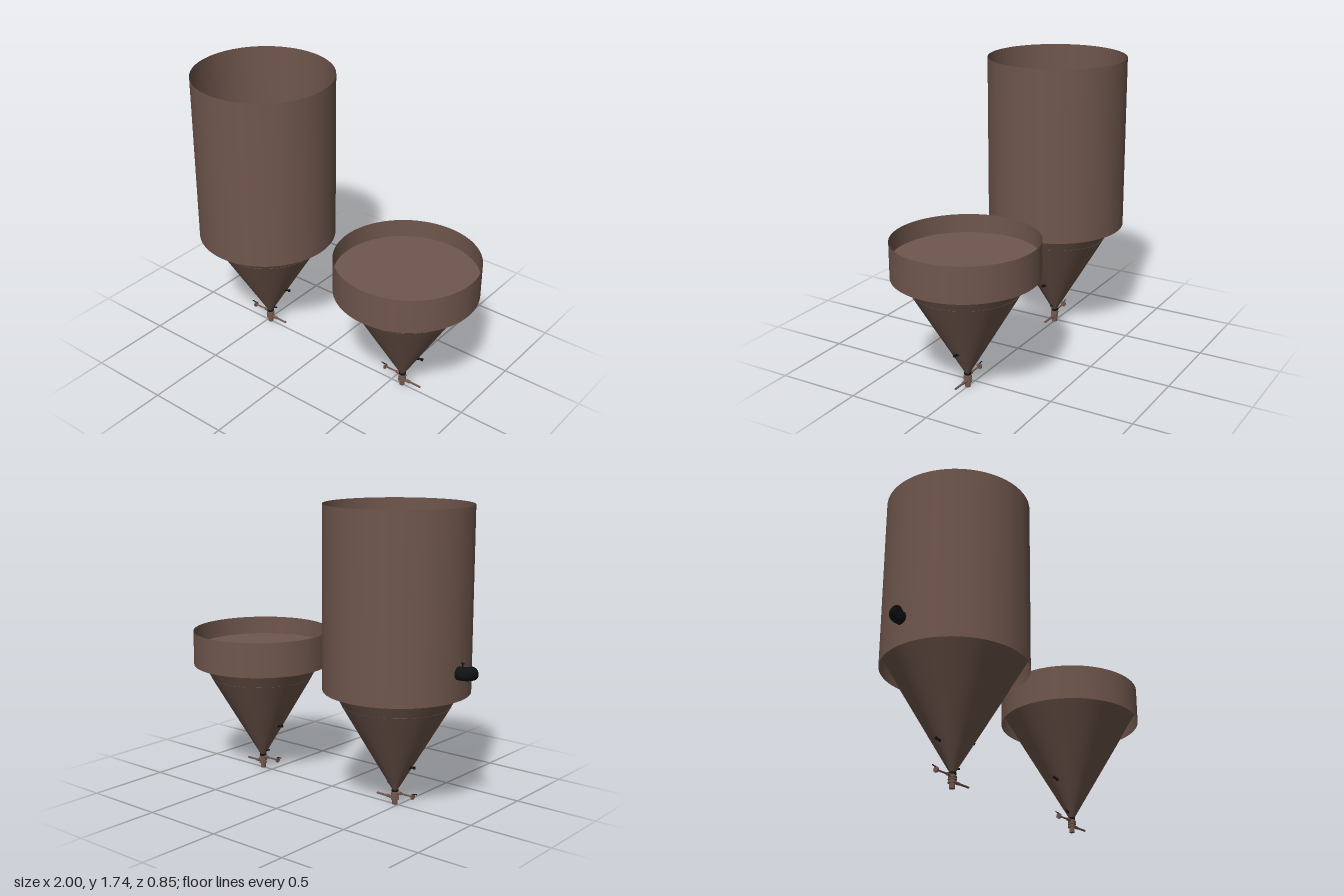
import * as THREE from 'three';

const steel = new THREE.MeshStandardMaterial({ color: 0x70574d });
const steelOpen = new THREE.MeshStandardMaterial({ color: 0x70574d, side: THREE.DoubleSide });
const black = new THREE.MeshStandardMaterial({ color: 0x101113, side: THREE.DoubleSide });

const R = 0.4225; // tank radius
const coneRadius = (y) => 0.014 + (y - 0.09) * 0.583;

function add(parent, name, geometry, material, x = 0, y = 0, z = 0) {
  const mesh = new THREE.Mesh(geometry, material);
  mesh.name = name;
  mesh.position.set(x, y, z);
  parent.add(mesh);
  return mesh;
}

const disc = (r, h, sides = 24) => new THREE.CylinderGeometry(r, r, h, sides);

// Rod between two points
function rod(parent, name, a, b, r, material) {
  const from = new THREE.Vector3(...a), to = new THREE.Vector3(...b);
  const dir = to.clone().sub(from);
  const mesh = add(parent, name, disc(r, dir.length(), 16), material);
  mesh.position.copy(from).addScaledVector(dir, 0.5);
  mesh.quaternion.setFromUnitVectors(new THREE.Vector3(0, 1, 0), dir.normalize());
  return mesh;
}

// Small fitting standing out of the cone, on the side given by the sign of x
function conePort(parent, side, y, tilt) {
  const r = coneRadius(y);
  const port = new THREE.Group();
  port.name = 'conePort';
  const end = [side * (r + 0.033), y + tilt, 0];
  rod(port, 'portNeck', [side * (r - 0.015), y - tilt, 0], end, 0.005, black);
  rod(port, 'portCollar', [side * (r - 0.004), y - tilt * 0.5, 0], [side * (r + 0.006), y, 0], 0.010, black);
  rod(port, 'portCap', [side * (r + 0.025), y + tilt * 0.7, 0], end, 0.009, black);
  parent.add(port);
}

// Outlet with two stacked valves and their handles
function outlet(parent) {
  const valve = new THREE.Group();
  valve.name = 'outletValve';
  add(valve, 'outletPipe', disc(0.016, 0.095), steel, 0, 0.0475);
  for (const y of [0.066, 0.052, 0.034]) add(valve, 'flange', disc(0.024, 0.008), steel, 0, y);
  add(valve, 'topClamp', disc(0.021, 0.010), black, 0, 0.084);
  // upper valve: stem, knob and lever on the left
  rod(valve, 'upperStem', [0, 0.073, 0], [-0.13, 0.073, 0], 0.005, steel);
  rod(valve, 'upperBody', [0, 0.073, 0], [-0.045, 0.073, 0], 0.009, steel);
  rod(valve, 'upperKnob', [-0.122, 0.073, 0], [-0.130, 0.073, 0], 0.017, steel);
  rod(valve, 'upperLever', [-0.126, 0.088, 0], [-0.155, 0.092, 0], 0.003, black);
  // lower valve: handle on the right
  rod(valve, 'lowerBody', [0, 0.040, 0], [0.055, 0.040, 0], 0.009, steel);
  rod(valve, 'lowerHandle', [0.05, 0.040, 0], [0.13, 0.040, 0], 0.006, steel);
  parent.add(valve);
}

// Open-topped tank; the skirt hangs slightly below the rim of the cone
function tank(name, x, top, side) {
  const g = new THREE.Group();
  g.name = name;
  g.position.x = x;
  const bottom = 0.69, rim = 0.79, seam = 0.605;
  add(g, 'shell', new THREE.CylinderGeometry(R, R, top - bottom, 96, 1, true), steelOpen, 0, (top + bottom) / 2);
  add(g, 'cone', new THREE.CylinderGeometry(R - 0.001, coneRadius(0.09), rim - 0.09, 96), steel, 0, (rim + 0.09) / 2);
  // jacket over the lower cone, ending in a faint seam
  add(g, 'coneJacket', new THREE.CylinderGeometry(coneRadius(seam) + 0.002, coneRadius(0.09) + 0.002, seam - 0.09, 96),
    steel, 0, (seam + 0.09) / 2);
  conePort(g, side, 0.30, 0.004);
  conePort(g, -side, 0.245, 0.003);
  rod(g, 'lowerSpigot', [side * 0.02, 0.113, 0], [side * 0.055, 0.125, 0], 0.005, black);
  outlet(g);
  return g;
}

// Pipe elbow leaving the wall sideways and turning to the front
function elbow() {
  const g = new THREE.Group();
  g.name = 'elbow';
  const y = 0.85, bend = 0.042, r = 0.038, cx = -0.92, cz = 0.035;
  const path = new THREE.CurvePath();
  const p = (x, z) => new THREE.Vector3(x, y, z);
  path.add(new THREE.LineCurve3(p(-0.885, cz - bend), p(cx, cz - bend)));
  const k = bend * 0.5523;
  path.add(new THREE.CubicBezierCurve3(p(cx, cz - bend), p(cx - k, cz - bend), p(cx - bend, cz - k), p(cx - bend, cz)));
  add(g, 'elbowPipe', new THREE.TubeGeometry(path, 32, r, 32), black);
  add(g, 'elbowEnd', new THREE.CircleGeometry(r, 32), black, cx - bend, y, cz);
  rod(g, 'elbowLatch', [-0.92, y + 0.03, 0], [-0.92, y + 0.055, 0], 0.004, black);
  rod(g, 'latchGrip', [-0.928, y + 0.055, 0], [-0.912, y + 0.058, 0], 0.004, black);
  return g;
}

export function createModel() {
  const model = new THREE.Group();
  model.name = 'tankPair';
  model.add(tank('tallTank', -0.4775, 1.742, 1));
  model.add(tank('shortTank', 0.576, 0.902, -1));
  model.add(elbow());
  return model;
}
